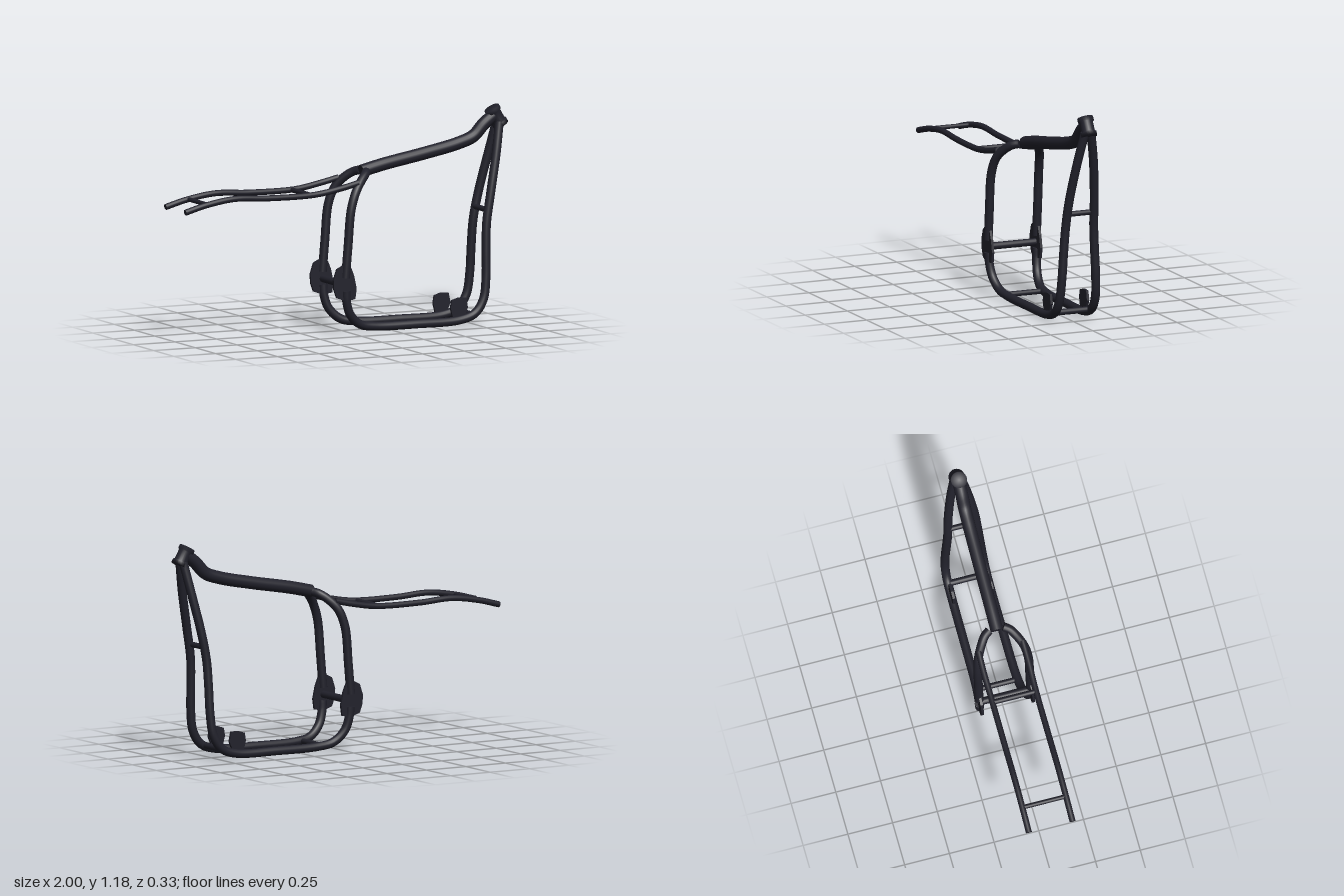
import * as THREE from 'three';

const paint = new THREE.MeshStandardMaterial({ color: 0x21212b });
paint.name = 'dark frame paint';

// Round tube through a few points, closed with a disc at each end
function tube(name, points, radius) {
  const curve = new THREE.CatmullRomCurve3(points.map(p => new THREE.Vector3(...p)));
  const group = new THREE.Group();
  group.name = name;
  const segments = points.length > 2 ? points.length * 7 : 1;
  const wall = new THREE.Mesh(new THREE.TubeGeometry(curve, segments, radius, 16), paint);
  wall.name = name + 'Wall';
  group.add(wall);
  for (const end of [0, 1]) {
    const cap = new THREE.Mesh(new THREE.CircleGeometry(radius, 16), paint);
    cap.name = name + 'Cap';
    cap.position.copy(curve.getPointAt(end));
    const outward = curve.getTangentAt(end).multiplyScalar(end ? 1 : -1);
    cap.quaternion.setFromUnitVectors(new THREE.Vector3(0, 0, 1), outward);
    group.add(cap);
  }
  return group;
}

// Flat plate with an outline in x and y, centred on z
function plate(name, outline, z, thickness) {
  const shape = new THREE.Shape(outline.map(p => new THREE.Vector2(...p)));
  const geometry = new THREE.ExtrudeGeometry(shape, { depth: thickness, bevelEnabled: false });
  const mesh = new THREE.Mesh(geometry, paint);
  mesh.name = name;
  mesh.position.z = z - thickness / 2;
  return mesh;
}

// Straight tube across the frame from side to side
const crossTube = (name, x, y, halfWidth, radius) =>
  tube(name, [[x, y, -halfWidth], [x, y, halfWidth]], radius);

export function createModel() {
  const frame = new THREE.Group();
  frame.name = 'tubularFrame';

  // Steering head with a collar at each end
  const profile = [[0, -0.054], [0.044, -0.054], [0.044, -0.032], [0.037, -0.028],
    [0.037, 0.028], [0.044, 0.032], [0.044, 0.054], [0, 0.054]];
  const headGeometry = new THREE.LatheGeometry(profile.map(p => new THREE.Vector2(...p)), 24);
  const head = new THREE.Mesh(headGeometry, paint);
  head.name = 'steeringHead';
  head.position.set(0.928, 1.114, 0);
  head.rotation.z = 0.53;
  frame.add(head);

  // Main backbone
  frame.add(tube('backbone', [[0.118, 0.865, 0], [0.25, 0.895, 0], [0.5, 0.94, 0], [0.7, 0.982, 0],
    [0.79, 1.015, 0], [0.85, 1.075, 0], [0.915, 1.125, 0]], 0.035));

  for (const s of [1, -1]) {
    const side = s > 0 ? 'left' : 'right';
    const at = points => points.map(([x, y, z]) => [x, y, z * s]);

    // Down tube running back under the engine and up to the pivot plate
    frame.add(tube(side + 'DownTube', at([[0.938, 1.085, 0.018], [0.905, 0.92, 0.047],
      [0.857, 0.7, 0.074], [0.83, 0.55, 0.083], [0.822, 0.4, 0.092], [0.818, 0.26, 0.1],
      [0.8, 0.14, 0.106], [0.75, 0.066, 0.108], [0.66, 0.034, 0.108], [0.4, 0.028, 0.109],
      [0.14, 0.032, 0.112], [0.05, 0.05, 0.12], [-0.013, 0.108, 0.132], [-0.038, 0.18, 0.14],
      [-0.043, 0.24, 0.143]]), 0.024));

    // Seat tube from the pivot plate curving in to the backbone
    frame.add(tube(side + 'SeatTube', at([[-0.046, 0.31, 0.143], [-0.031, 0.48, 0.143],
      [-0.011, 0.68, 0.141], [0.025, 0.775, 0.128], [0.07, 0.828, 0.1],
      [0.108, 0.857, 0.07], [0.128, 0.866, 0.04]]), 0.024));

    // Rear seat rail
    frame.add(tube(side + 'SeatRail', at([[-0.998, 0.722, 0.122], [-0.87, 0.755, 0.122],
      [-0.7, 0.779, 0.122], [-0.5, 0.77, 0.122], [-0.22, 0.772, 0.122],
      [-0.07, 0.796, 0.125], [0.04, 0.82, 0.123]]), 0.0165));

    // Swingarm pivot plate
    frame.add(plate(side + 'PivotPlate', [[-0.117, 0.25], [-0.12, 0.3], [-0.1, 0.36], [-0.06, 0.38],
      [-0.015, 0.365], [0.003, 0.32], [0.018, 0.25], [0.01, 0.193], [-0.045, 0.183],
      [-0.1, 0.203]], 0.143 * s, 0.014));

    // Engine mount tab
    frame.add(plate(side + 'EngineMount', [[0.6, 0.1], [0.607, 0.143], [0.645, 0.155], [0.692, 0.153],
      [0.703, 0.1], [0.68, 0.045], [0.615, 0.04]], 0.108 * s, 0.014));
  }

  // Cross tubes
  frame.add(crossTube('pivotCrossTube', -0.046, 0.272, 0.14, 0.02));
  frame.add(crossTube('frontCrossTube', 0.833, 0.62, 0.08, 0.015));
  frame.add(crossTube('lowerFrontCrossTube', 0.73, 0.058, 0.105, 0.017));
  frame.add(crossTube('lowerRearCrossTube', 0.11, 0.034, 0.11, 0.015));
  frame.add(crossTube('seatCrossTube', -0.242, 0.77, 0.12, 0.014));
  frame.add(crossTube('tailCrossTube', -0.862, 0.757, 0.12, 0.012));

  return frame;
}
